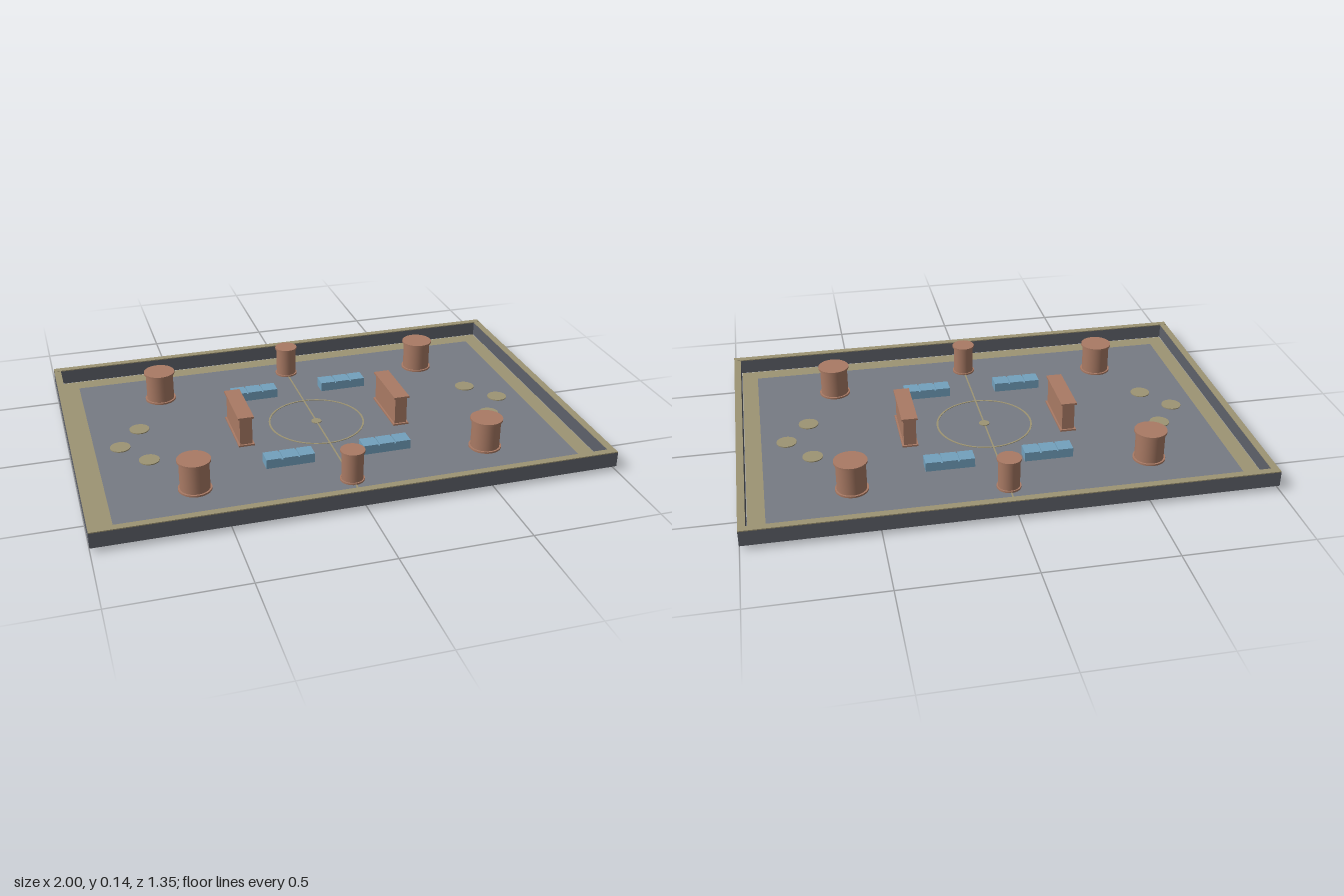
import * as THREE from 'three';

const mat = (name, color) => {
  const m = new THREE.MeshStandardMaterial({ color });
  m.name = name;
  return m;
};

export function createModel() {
  const slate = mat('slate floor', 0x777b84);
  const dark = mat('dark wall', 0x5e616a);
  const tan = mat('tan trim', 0x9d9474);
  const copper = mat('copper', 0xa97a64);
  const blue = mat('blue', 0x72a1bd);

  const arena = new THREE.Group();
  arena.name = 'arena';
  const FLOOR = 0.018;

  const add = (parent, name, geometry, material, x, y, z) => {
    const mesh = new THREE.Mesh(geometry, material);
    mesh.name = name;
    mesh.position.set(x, y, z);
    parent.add(mesh);
    return mesh;
  };
  // Boxes and cylinders are placed by the height of their underside
  const box = (parent, name, material, w, h, d, x, y, z) =>
    add(parent, name, new THREE.BoxGeometry(w, h, d), material, x, y + h / 2, z);
  const cyl = (parent, name, material, r, h, x, y, z) =>
    add(parent, name, new THREE.CylinderGeometry(r, r, h, 32), material, x, y + h / 2, z);

  // Floor slab with a tan border around it
  box(arena, 'floor', slate, 1.81, FLOOR, 1.16, 0, 0, 0);
  for (const s of [-1, 1]) {
    box(arena, 'floorBorderLong', tan, 1.94, FLOOR, 0.065, 0, 0, s * 0.6125);
    box(arena, 'floorBorderShort', tan, 0.065, FLOOR, 1.16, s * 0.9375, 0, 0);
  }

  // Perimeter walls with thin tan caps
  for (const s of [-1, 1]) {
    box(arena, 'longWall', dark, 2, 0.059, 0.028, 0, FLOOR, s * 0.661);
    box(arena, 'longWallCap', tan, 2, 0.004, 0.028, 0, 0.077, s * 0.661);
    box(arena, 'sideWall', dark, 0.028, 0.059, 1.294, s * 0.986, FLOOR, 0);
    box(arena, 'sideWallCap', tan, 0.028, 0.003, 1.294, s * 0.986, 0.077, 0);
  }

  // Floor markings
  const MARK = 0.002;
  box(arena, 'centreLine', tan, 0.006, MARK, 1.16, 0, FLOOR, 0);
  const ring = new THREE.Shape().absarc(0, 0, 0.196, 0, Math.PI * 2);
  ring.holes.push(new THREE.Path().absarc(0, 0, 0.189, 0, Math.PI * 2, true));
  const ringGeometry = new THREE.ExtrudeGeometry(ring, { depth: MARK, bevelEnabled: false, curveSegments: 48 });
  ringGeometry.rotateX(-Math.PI / 2);
  add(arena, 'centreCircle', ringGeometry, tan, 0, FLOOR, 0);
  cyl(arena, 'centreSpot', tan, 0.021, MARK + 0.001, 0, FLOOR, 0);
  for (const s of [-1, 1]) {
    for (const [x, z] of [[0.805, 0], [0.71, 0.13], [0.71, -0.13]]) {
      cyl(arena, 'startSpot', tan, 0.04, 0.004, s * x, FLOOR, z);
    }
  }

  // Round pillars with a foot and a cap
  const pillar = (r, x, z) => {
    const g = new THREE.Group();
    g.name = 'pillar';
    g.position.set(x, FLOOR, z);
    cyl(g, 'pillarFoot', copper, r, 0.007, 0, 0, 0);
    cyl(g, 'pillarBody', copper, r * 0.89, 0.113, 0, 0.007, 0);
    cyl(g, 'pillarCap', copper, r, 0.008, 0, 0.119, 0);
    arena.add(g);
  };
  for (const sz of [-1, 1]) {
    for (const sx of [-1, 1]) pillar(0.064, sx * 0.58, sz * 0.387);
    pillar(0.047, 0, sz * 0.483);
  }

  // Tall barriers either side of the centre circle
  for (const s of [-1, 1]) {
    const g = new THREE.Group();
    g.name = 'barrier';
    g.position.set(s * 0.323, FLOOR, 0);
    box(g, 'barrierFoot', copper, 0.064, 0.007, 0.256, 0, 0, 0);
    box(g, 'barrierBody', copper, 0.05, 0.113, 0.242, 0, 0.007, 0);
    box(g, 'barrierCap', copper, 0.064, 0.008, 0.256, 0, 0.119, 0);
    arena.add(g);
  }

  // Low blue cover blocks, each in three segments
  for (const sx of [-1, 1]) {
    for (const sz of [-1, 1]) {
      const g = new THREE.Group();
      g.name = 'coverBlock';
      g.position.set(sx * 0.195, FLOOR, sz * 0.291);
      box(g, 'coverBase', blue, 0.193, 0.032, 0.063, 0, 0, 0);
      for (const i of [-1, 0, 1]) {
        box(g, 'coverSegment', blue, 0.06, 0.006, 0.063, i * 0.0665, 0.032, 0);
      }
      arena.add(g);
    }
  }

  return arena;
}
